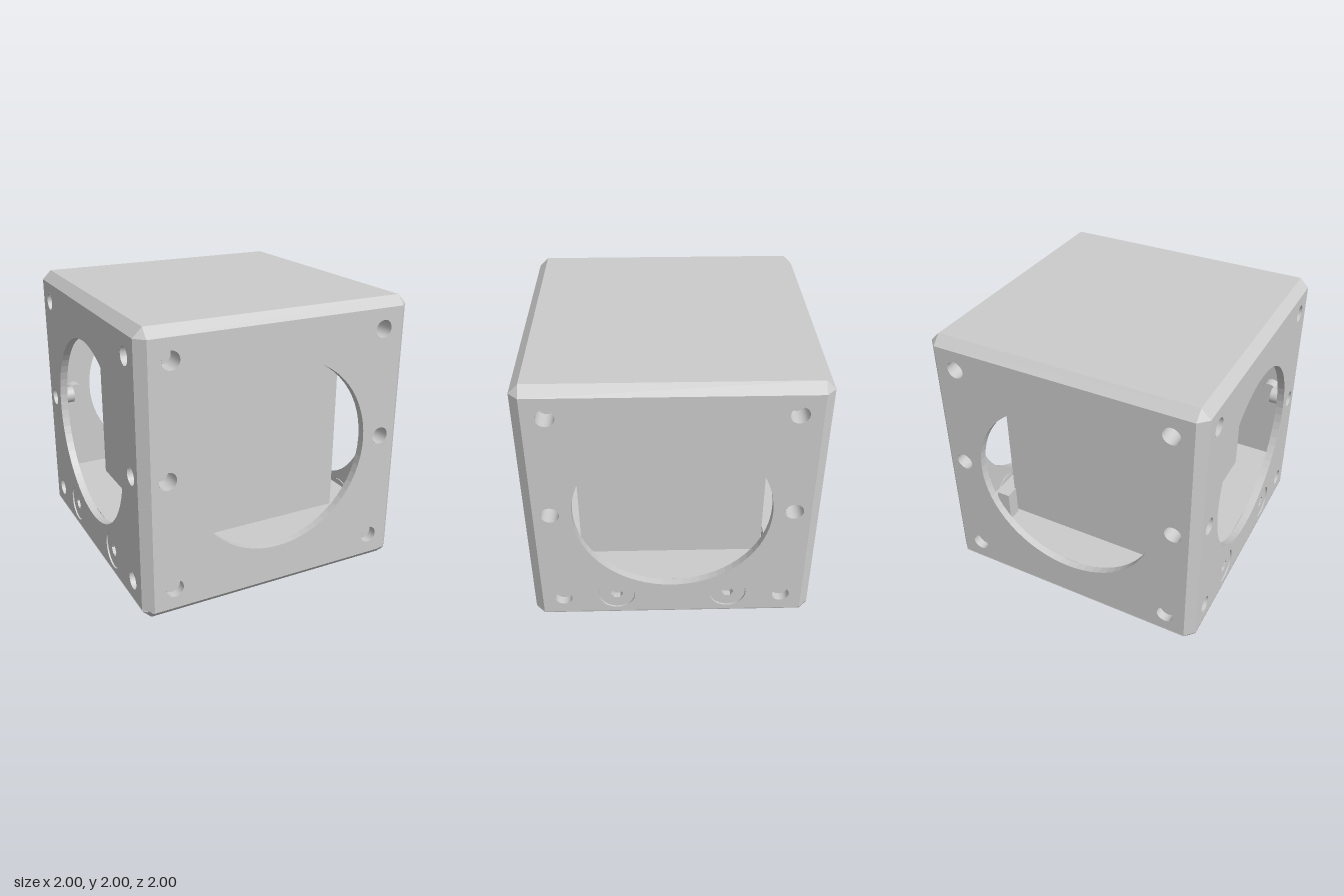
import * as THREE from 'three';

const C = 0.065;          // chamfer size
const T = 0.055;          // wall thickness
const MID = 1.005;        // height of the optical axis
const BOLTS = [[-0.785, 1.79], [0.785, 1.79], [-0.785, 0.215], [0.785, 0.215], [-0.82, MID], [0.82, MID]];
const SCREWS = [[-0.4, 0.24], [0.4, 0.24]];

const mat = new THREE.MeshStandardMaterial({ color: 0xcccccc, side: THREE.DoubleSide });

function add(parent, name, geo, x = 0, y = 0, z = 0) {
  const m = new THREE.Mesh(geo, mat);
  m.name = name;
  m.position.set(x, y, z);
  parent.add(m);
  return m;
}

const polygon = (pts) => new THREE.Shape(pts.map(([x, y]) => new THREE.Vector2(x, y)));

function circle(x, y, r) {
  const p = new THREE.Path();
  p.absarc(x, y, r, 0, Math.PI * 2, true);
  return p;
}

function extrude(shape, depth, segments = 24) {
  return new THREE.ExtrudeGeometry(shape, { depth, bevelEnabled: false, curveSegments: segments });
}

// Square horizontal slab with an optional round hole in the middle
function slab(half, y0, y1, holeRadius = 0) {
  const s = polygon([[-half, -half], [half, -half], [half, half], [-half, half]]);
  if (holeRadius) s.holes.push(circle(0, 0, holeRadius));
  return extrude(s, y1 - y0).rotateX(-Math.PI / 2).translate(0, y0, 0);
}

// Sloping band from a square at yFlat to a corner-cut square at yWide
function chamferBand(yFlat, yWide) {
  const a = 1 - C, pos = [];
  const corners = [[1, 1], [-1, 1], [-1, -1], [1, -1]];
  corners.forEach(([sx, sz], i) => {
    const [nx, nz] = corners[(i + 1) % 4];
    const flat = [sx * a, yFlat, sz * a], next = [nx * a, yFlat, nz * a];
    const onX = [sx, yWide, sz * a], onZ = [sx * a, yWide, sz];
    // the side shared with the next corner lies on z or x in turn
    const start = i % 2 ? onX : onZ;
    const end = i % 2 ? [nx, yWide, nz * a] : [nx * a, yWide, nz];
    const tris = [[flat, next, end], [flat, end, start], i % 2 ? [flat, onX, onZ] : [flat, onZ, onX]];
    for (const t of tris) {
      // orient every triangle outwards
      const [p, q, r] = t.map((v) => new THREE.Vector3(...v));
      const n = q.clone().sub(p).cross(r.clone().sub(p));
      const out = p.clone().add(q).add(r).setY(0);
      if (n.dot(out) < 0) t.reverse();
      pos.push(...t.flat());
    }
  });
  const g = new THREE.BufferGeometry();
  g.setAttribute('position', new THREE.Float32BufferAttribute(pos, 3));
  g.computeVertexNormals();
  return g;
}

// Blind hole: open tube plus a floor, running inwards from z = 0
function blindHole(parent, name, x, y, z, r, depth) {
  const g = new THREE.Group();
  g.name = name;
  g.position.set(x, y, z);
  add(g, 'holeWall', new THREE.CylinderGeometry(r, r, depth, 24, 1, true).rotateX(Math.PI / 2), 0, 0, -depth / 2);
  add(g, 'holeFloor', new THREE.CircleGeometry(r, 24), 0, 0, -depth);
  parent.add(g);
  return g;
}

// Flat round screw head with a hexagonal socket
function screwHead(parent, x, y) {
  const s = new THREE.Shape();
  s.absarc(0, 0, 0.127, 0, Math.PI * 2);
  s.holes.push(new THREE.Path(Array.from({ length: 6 }, (_, i) =>
    new THREE.Vector2(0.045 * Math.cos(-i * Math.PI / 3), 0.045 * Math.sin(-i * Math.PI / 3)))));
  add(parent, 'screwHead', extrude(s, 0.05), x, y, 0.94);
  add(parent, 'socketFloor', new THREE.CircleGeometry(0.05, 6), x, y, 0.945);
}

// One side wall with its window, bolt holes and, if asked, screws
function wall(name, withScrews) {
  const g = new THREE.Group();
  g.name = name;
  const a = 1 - C, bottom = C + 0.008;
  const s = polygon([[-a, bottom], [a, bottom], [a, 2 - C], [-a, 2 - C]]);
  s.holes.push(circle(0, MID, 0.675));
  BOLTS.forEach(([x, y]) => s.holes.push(circle(x, y, 0.062)));
  if (withScrews) SCREWS.forEach(([x, y]) => s.holes.push(circle(x, y, 0.13)));
  add(g, 'wallPanel', extrude(s, T, 32), 0, 0, 1 - T);
  BOLTS.forEach(([x, y]) => blindHole(g, 'boltHole', x, y, 1, 0.062, 0.14));
  if (withScrews) SCREWS.forEach(([x, y]) => screwHead(g, x, y));
  return g;
}

export function createModel() {
  const model = new THREE.Group();
  model.name = 'cubeMount';

  // Four walls; the two sides carry the base screws
  ['frontWall', 'leftWall', 'backWall', 'rightWall'].forEach((name, i) => {
    const w = wall(name, i % 2 === 1);
    w.rotation.y = i * Math.PI / 2;
    model.add(w);
  });

  // Chamfered vertical corners
  const a = 1 - C, b = 1 - T - 0.015;
  for (let i = 0; i < 4; i++) {
    const s = polygon([[b, b], [1, b], [1, a], [a, 1], [b, 1]].map(([x, y]) =>
      [Math.min(x, 1), y]).map(([x, y]) => [x, y]));
    const g = extrude(s, 2 - 2 * C - 0.008).rotateX(-Math.PI / 2);
    add(model, 'cornerPost', g, 0, C + 0.008, 0).rotation.y = i * Math.PI / 2;
  }

  // Roof and its sloping edge
  add(model, 'roof', slab(a, 2 - C, 2));
  add(model, 'roofChamfer', chamferBand(2, 2 - C));

  // Base plate, its sloping edge and the pedestal the screws bite into
  add(model, 'basePlate', slab(a, 0, C, 0.06));
  add(model, 'baseChamfer', chamferBand(0, C));
  add(model, 'pedestal', slab(0.938, C, 0.325, 0.06));

  // Glass cube standing on a small pad, held from above by a ribbed pad
  add(model, 'glassCube', new THREE.BoxGeometry(1.33, 1.33, 1.33), 0, 1.01, 0);
  add(model, 'cubeSeat', slab(0.6, 0.32, 0.35));
  add(model, 'topPad', slab(0.45, 1.67, 1.94));
  for (let i = -2; i <= 2; i++) {
    add(model, 'padRib', new THREE.BoxGeometry(0.05, 0.2, 1.0), i * 0.18, 1.84, 0);
  }

  // Stop that locates the cube at one corner
  add(model, 'cornerStop', new THREE.BoxGeometry(0.1, 0.24, 0.1), 0.7, 0.44, -0.72);

  return model;
}
